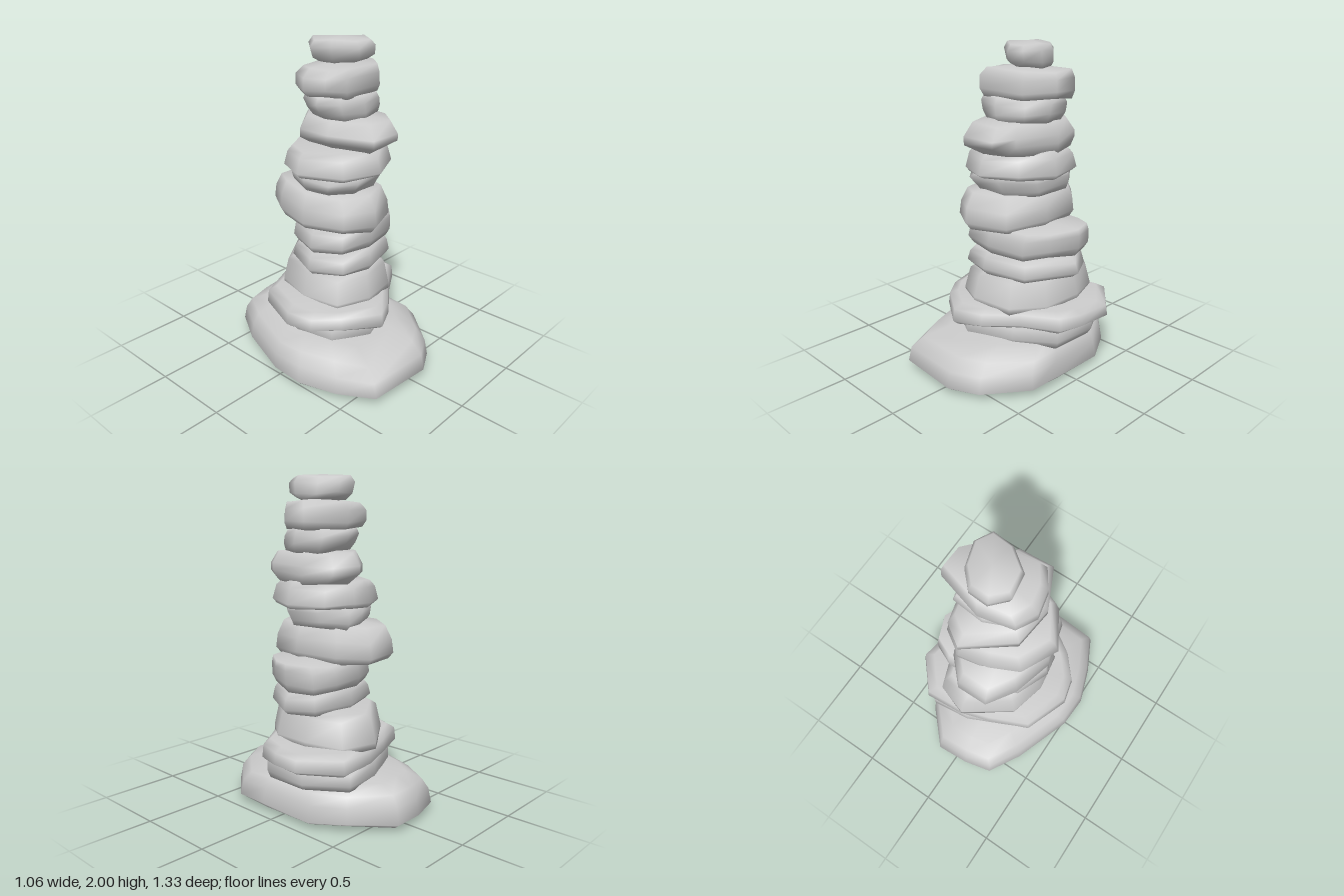
import * as THREE from 'three';

const material = new THREE.MeshStandardMaterial({ color: 0xcccccc });

// One stone: a plan outline [x, z, ...] lofted through rings [scale, y, dx, dz]
// and closed by a shallow cap at yBottom and yTop.
function stone(name, outline, yBottom, rings, yTop, seed) {
  const n = outline.length / 2;
  let cx = 0, cz = 0;
  for (let i = 0; i < n; i++) {
    cx += outline[2 * i] / n;
    cz += outline[2 * i + 1] / n;
  }
  const pos = [], index = [];
  rings.forEach(([scale, y, dx = 0, dz = 0], r) => {
    for (let i = 0; i < n; i++) {
      const wobble = 0.008 * Math.sin(seed * 1.7 + i * 2.1 + r * 0.8);
      pos.push(
        cx + dx + (outline[2 * i] - cx) * scale,
        y + wobble,
        cz + dz + (outline[2 * i + 1] - cz) * scale
      );
    }
  });
  const bottom = pos.length / 3, top = bottom + 1;
  pos.push(cx, yBottom, cz, cx, yTop, cz);
  const last = (rings.length - 1) * n;
  for (let i = 0; i < n; i++) {
    const j = (i + 1) % n;
    for (let r = 0; r < rings.length - 1; r++) {
      const a = r * n, b = a + n;
      index.push(a + i, b + i, a + j, a + j, b + i, b + j);
    }
    index.push(bottom, i, j, top, last + j, last + i);
  }
  const geometry = new THREE.BufferGeometry();
  geometry.setAttribute('position', new THREE.Float32BufferAttribute(pos, 3));
  geometry.setIndex(index);
  geometry.computeVertexNormals();
  const mesh = new THREE.Mesh(geometry, material);
  mesh.name = name;
  return mesh;
}

export function createModel() {
  const group = new THREE.Group();
  group.name = 'stackedStones';

  // Wide domed foundation and the slabs resting on it
  group.add(
    stone('baseStone',
      [-0.26, -0.61, -0.08, -0.65, 0.13, -0.665, 0.33, -0.45, 0.44, -0.25, 0.45, 0.12, 0.45, 0.33,
        0.25, 0.57, 0.08, 0.665, -0.34, 0.635, -0.45, 0.42, -0.53, 0.19, -0.52, -0.02, -0.38, -0.4],
      0, [[0.95, 0.025], [1, 0.045], [0.97, 0.14], [0.89, 0.205, 0.01, -0.02], [0.7, 0.25, 0.02, -0.05]], 0.275, 1),
    stone('lowerSlab',
      [-0.25, -0.28, 0.05, -0.42, 0.3, -0.45, 0.44, -0.2, 0.43, 0.1, 0.22, 0.27, -0.08, 0.37, -0.3, 0.25, -0.35, 0],
      0.21, [[0.95, 0.22], [1, 0.26], [1, 0.33], [0.92, 0.36]], 0.37, 2),
    stone('wideSlab',
      [-0.35, -0.26, -0.1, -0.37, 0.1, -0.43, 0.35, -0.45, 0.53, -0.24, 0.5, -0.04, 0.46, 0.11, 0.26, 0.24,
        0.07, 0.39, -0.09, 0.47, -0.3, 0.33, -0.42, 0.19, -0.46, 0.03],
      0.325, [[0.94, 0.335], [1, 0.355], [0.98, 0.425], [0.87, 0.45]], 0.465, 3),
    stone('blockStone',
      [-0.22, -0.24, 0.07, -0.44, 0.28, -0.37, 0.36, -0.15, 0.34, 0.1, 0.2, 0.28, -0.05, 0.33, -0.24, 0.24, -0.28, 0],
      0.42, [[1, 0.43], [1, 0.47], [0.91, 0.605], [0.8, 0.635]], 0.65, 4)
  );

  // Middle of the stack
  group.add(
    stone('thinStone',
      [-0.2, -0.17, 0.05, -0.24, 0.35, -0.22, 0.44, -0.06, 0.27, 0.22, 0.0, 0.3, -0.2, 0.25, -0.29, 0.05],
      0.62, [[0.9, 0.63], [1, 0.665], [0.95, 0.73], [0.86, 0.765]], 0.79, 5),
    stone('offsetStone',
      [-0.2, -0.16, 0.02, -0.27, 0.24, -0.29, 0.37, -0.23, 0.43, -0.07, 0.35, 0.1, 0.26, 0.23,
        0.02, 0.28, -0.2, 0.24, -0.28, 0.06],
      0.76, [[0.92, 0.77], [1, 0.815], [0.98, 0.89, 0.01], [0.9, 0.93, 0.03]], 0.955, 6),
    stone('thickStone',
      [-0.23, -0.24, -0.12, -0.41, 0.08, -0.41, 0.22, -0.26, 0.26, 0.02, 0.18, 0.28, -0.06, 0.38, -0.23, 0.28, -0.3, 0.02],
      0.91, [[0.91, 0.925], [1, 0.965], [0.97, 1.05], [0.86, 1.135]], 1.16, 7),
    stone('flatStone',
      [-0.2, -0.17, 0, -0.27, 0.15, -0.3, 0.26, -0.16, 0.25, 0.1, 0.1, 0.27, -0.12, 0.29, -0.24, 0.17, -0.27, 0],
      1.11, [[0.86, 1.125, 0.02, -0.02], [0.93, 1.16, 0.01, -0.02], [1, 1.215], [0.9, 1.245, 0.02]], 1.26, 8)
  );

  // Upper stones
  group.add(
    stone('tiltedStone',
      [-0.23, -0.2, -0.06, -0.28, 0.12, -0.32, 0.27, -0.22, 0.33, 0.02, 0.24, 0.24, 0.02, 0.34, -0.2, 0.25, -0.34, 0.02],
      1.225, [[0.93, 1.24], [1, 1.265], [0.93, 1.35], [0.83, 1.385]], 1.4, 9),
    stone('angularStone',
      [-0.17, -0.13, 0.1, -0.34, 0.23, -0.25, 0.28, -0.05, 0.23, 0.25, 0.15, 0.36, -0.08, 0.37, -0.2, 0.12],
      1.36, [[0.77, 1.38, 0.04, -0.02], [0.98, 1.435], [0.98, 1.48], [0.83, 1.555]], 1.575, 10),
    stone('smallStone',
      [-0.14, -0.12, 0.03, -0.19, 0.23, -0.17, 0.27, 0.01, 0.21, 0.16, 0.02, 0.21, -0.14, 0.17, -0.19, 0.03],
      1.54, [[0.85, 1.555, 0.02, 0.02], [0.96, 1.6, 0.01, 0.01], [1, 1.65], [0.92, 1.69]], 1.71, 11),
    stone('capSupport',
      [-0.16, -0.16, 0.05, -0.2, 0.33, -0.12, 0.33, 0.03, 0.2, 0.17, -0.12, 0.2, -0.19, 0.1, -0.22, -0.04],
      1.67, [[0.92, 1.69, 0.01], [1, 1.73], [0.99, 1.8], [0.88, 1.845, 0.02]], 1.865, 12),
    stone('topStone',
      [-0.1, -0.1, -0.02, -0.19, 0.1, -0.185, 0.19, -0.09, 0.23, 0.05, 0.18, 0.15, 0.05, 0.14, -0.08, 0.04],
      1.845, [[0.75, 1.86, 0.02, -0.01], [0.95, 1.89, 0.01], [1, 1.95], [0.86, 1.985]], 2, 13)
  );
  return group;
}
